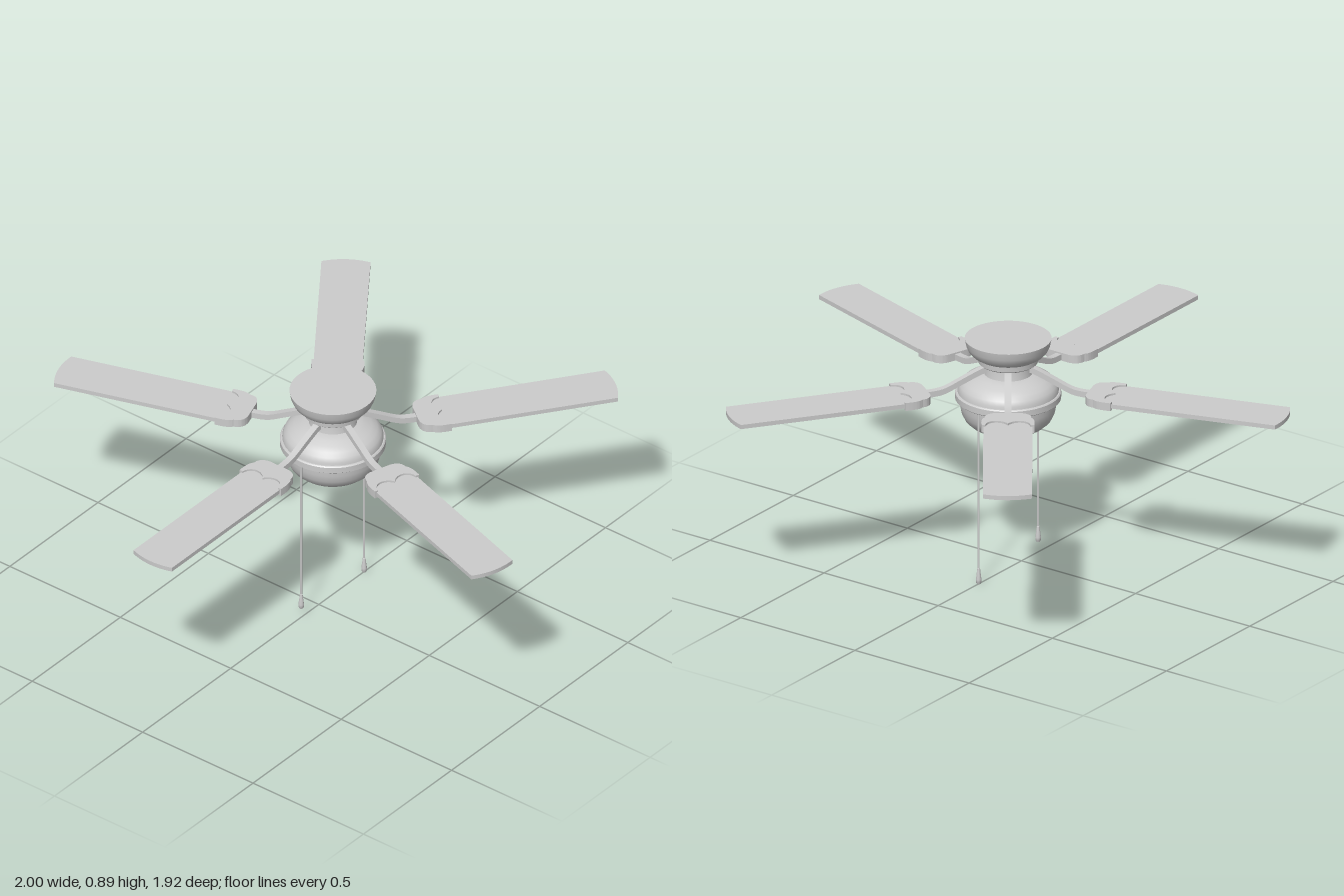
import * as THREE from 'three';
import { toCreasedNormals } from 'three/addons/utils/BufferGeometryUtils.js';

const CZ = -0.08; // fan axis
const material = new THREE.MeshStandardMaterial({ color: 0xcccccc, side: THREE.DoubleSide });

function addMesh(parent, name, geometry, x = 0, y = 0, z = 0) {
  const mesh = new THREE.Mesh(geometry, material);
  mesh.name = name;
  mesh.position.set(x, y, z);
  parent.add(mesh);
  return mesh;
}

// Turned part from [radius, height] pairs, bottom to top
function turned(points, segments = 48) {
  const profile = points.map(([r, y]) => new THREE.Vector2(r, y));
  return toCreasedNormals(new THREE.LatheGeometry(profile, segments), 0.6);
}

// Flat plan shape (x across, y outwards) laid down with outwards along +z
function slab(shape, bottom, top) {
  const g = new THREE.ExtrudeGeometry(shape, { depth: top - bottom, bevelEnabled: false, curveSegments: 12 });
  g.rotateX(Math.PI / 2);
  g.translate(0, top, 0);
  return toCreasedNormals(g, 0.6);
}

function bladeGeometry() {
  const s = new THREE.Shape();
  s.moveTo(-0.08, 0.345);
  s.lineTo(0.08, 0.345);
  s.lineTo(0.087, 0.42);
  s.lineTo(0.087, 1.022);
  s.quadraticCurveTo(0, 1.053, -0.087, 1.022);
  s.lineTo(-0.087, 0.42);
  return slab(s, 0.703, 0.719);
}

// Rounded holder with a scalloped outer edge that meets in a central point
function holderGeometry() {
  const s = new THREE.Shape();
  s.moveTo(0, 0.304);
  s.lineTo(0.04, 0.304);
  s.bezierCurveTo(0.07, 0.306, 0.083, 0.325, 0.082, 0.345);
  s.bezierCurveTo(0.095, 0.355, 0.095, 0.385, 0.094, 0.412);
  s.lineTo(0.08, 0.412);
  s.bezierCurveTo(0.074, 0.365, 0.02, 0.365, 0, 0.4);
  s.bezierCurveTo(-0.02, 0.365, -0.074, 0.365, -0.08, 0.412);
  s.lineTo(-0.094, 0.412);
  s.bezierCurveTo(-0.095, 0.385, -0.095, 0.355, -0.082, 0.345);
  s.bezierCurveTo(-0.083, 0.325, -0.07, 0.306, -0.04, 0.304);
  return slab(s, 0.696, 0.726);
}

// Bent bar: side profile in (outwards, y), extruded across its width
function armGeometry() {
  const upper = [[0.07, 0.789], [0.1, 0.785], [0.17, 0.756], [0.235, 0.728], [0.28, 0.721], [0.33, 0.721]];
  const pts = new THREE.SplineCurve(upper.map(([r, y]) => new THREE.Vector2(r, y))).getPoints(20);
  const lower = pts.map(p => new THREE.Vector2(p.x, p.y - 0.022)).reverse();
  const g = new THREE.ExtrudeGeometry(new THREE.Shape([...pts, ...lower]), { depth: 0.024, bevelEnabled: false });
  g.translate(0, 0, -0.012);
  g.rotateY(-Math.PI / 2);
  return toCreasedNormals(g, 0.6);
}

export function createModel() {
  const fan = new THREE.Group();
  fan.name = 'ceilingFan';

  // Ceiling canopy, neck and motor
  addMesh(fan, 'canopy', turned([
    [0, 0.818], [0.112, 0.818], [0.128, 0.828], [0.141, 0.842], [0.149, 0.86], [0.154, 0.886], [0, 0.886],
  ]), 0, 0, CZ);
  addMesh(fan, 'canopyCollar', turned([
    [0, 0.792], [0.1, 0.792], [0.106, 0.797], [0.108, 0.82], [0, 0.82],
  ]), 0, 0, CZ);
  addMesh(fan, 'neck', turned([[0.09, 0.735], [0.086, 0.75], [0.083, 0.796]]), 0, 0, CZ);
  addMesh(fan, 'motorHousing', turned([
    [0.18, 0.675], [0.179, 0.695], [0.172, 0.711], [0.158, 0.725], [0.138, 0.737],
    [0.115, 0.746], [0.1, 0.752], [0.08, 0.754],
  ]), 0, 0, CZ);
  addMesh(fan, 'motorBand', turned([
    [0.165, 0.654], [0.183, 0.654], [0.188, 0.658], [0.188, 0.68], [0.184, 0.684], [0.17, 0.685],
  ]), 0, 0, CZ);
  addMesh(fan, 'lowerBowl', turned([
    [0, 0.541], [0.075, 0.542], [0.105, 0.547], [0.132, 0.559], [0.153, 0.578],
    [0.165, 0.602], [0.171, 0.63], [0.172, 0.66],
  ]), 0, 0, CZ);

  // Five blades, each with its arm and holder
  const blade = bladeGeometry(), holder = holderGeometry(), arm = armGeometry();
  for (let i = 0; i < 5; i++) {
    const unit = new THREE.Group();
    unit.name = 'bladeAssembly' + (i + 1);
    unit.position.z = CZ;
    unit.rotation.y = (i * Math.PI * 2) / 5;
    addMesh(unit, 'blade', blade);
    addMesh(unit, 'bladeHolder', holder);
    addMesh(unit, 'bladeArm', arm);
    fan.add(unit);
  }

  // Pull chains with teardrop handles
  const handle = turned([
    [0, 0], [0.007, 0.001], [0.01, 0.007], [0.01, 0.018], [0.007, 0.042], [0.005, 0.06], [0, 0.064],
  ], 16);
  for (const [name, z, bottom] of [['front', 0.1, 0.04], ['back', -0.257, 0]]) {
    const length = 0.66 - bottom - 0.05;
    addMesh(fan, name + 'PullChain', new THREE.CylinderGeometry(0.004, 0.004, length, 10), 0, 0.66 - length / 2, z);
    addMesh(fan, name + 'ChainHandle', handle, 0, bottom, z);
  }
  return fan;
}
